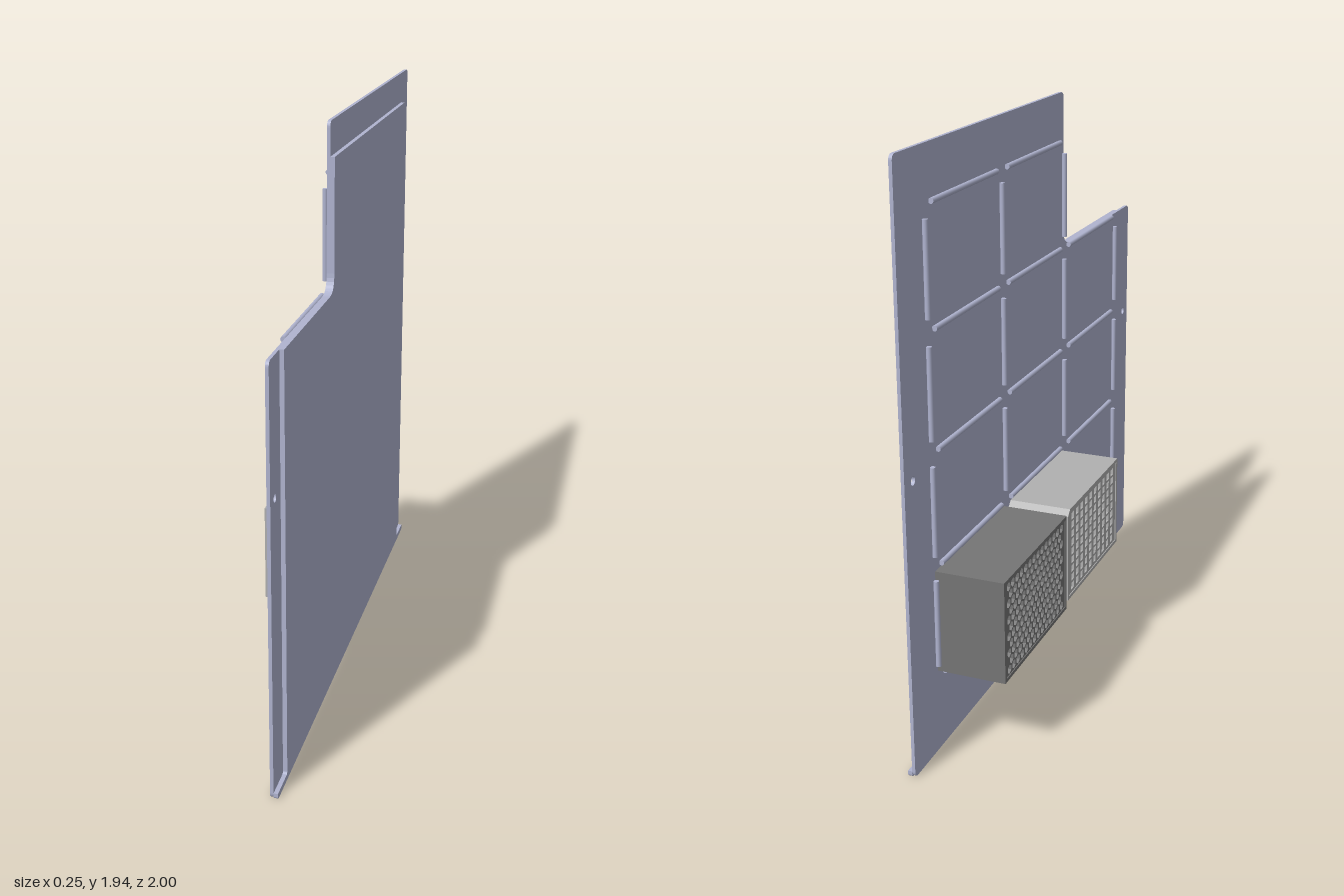
import * as THREE from 'three';

const paint = (color) => new THREE.MeshStandardMaterial({ color, side: THREE.DoubleSide });
const panelPaint = paint(0xb0b4d0);
const darkPaint = paint(0x757575);
const lightPaint = paint(0xb0b0b0);
const corePaint = paint(0xcccccc);

// Closed shape from [u, v, cornerRadius] points; u runs towards -z, v is up
function outline(points, Type = THREE.Shape) {
  const s = new Type();
  const n = points.length;
  points.forEach(([u, v, r = 0], i) => {
    const toward = ([a, b]) => {
      const d = Math.hypot(a - u, b - v);
      return [u + ((a - u) * r) / d, v + ((b - v) * r) / d];
    };
    const start = toward(points[(i + n - 1) % n]);
    const end = toward(points[(i + 1) % n]);
    if (i === 0) s.moveTo(...start); else s.lineTo(...start);
    if (r > 0) s.quadraticCurveTo(u, v, ...end);
  });
  s.closePath();
  return s;
}

// Extrudes a (u, v) shape along x from x0 to x1
function slab(name, shape, x0, x1, material) {
  const g = new THREE.ExtrudeGeometry(shape, { depth: x1 - x0, bevelEnabled: false, curveSegments: 8 });
  g.rotateY(Math.PI / 2).translate(x0, 0, 0);
  const mesh = new THREE.Mesh(g, material);
  mesh.name = name;
  return mesh;
}

// Regular polygon hole
function polygonHole(u, v, r, sides, turn = 0) {
  const pts = [];
  for (let i = 0; i < sides; i++) {
    const a = turn + (i / sides) * Math.PI * 2;
    pts.push([u + r * Math.cos(a), v + r * Math.sin(a)]);
  }
  return outline(pts, THREE.Path);
}

// Box housing: side walls, a pierced cover and an inner back plate
function housing(name, points, xFront, holes, material, coreMaterial) {
  const group = new THREE.Group();
  group.name = name;
  const us = points.map((p) => p[0]), vs = points.map((p) => p[1]);
  const cu = (Math.min(...us) + Math.max(...us)) / 2, cv = (Math.min(...vs) + Math.max(...vs)) / 2;
  const w = Math.max(...us) - Math.min(...us), h = Math.max(...vs) - Math.min(...vs);
  const t = 0.012;
  const inner = points.map(([u, v]) => [cu + (u - cu) * (1 - (2 * t) / w), cv + (v - cv) * (1 - (2 * t) / h)]);
  const walls = outline(points);
  walls.holes.push(outline(inner, THREE.Path));
  const cover = outline(inner);
  cover.holes.push(...holes);
  group.add(
    slab('housingWalls', walls, xFront, 0.1, material),
    slab('housingGrille', cover, xFront + 0.003, xFront + 0.02, material),
    slab('housingCore', outline(inner), xFront + 0.03, 0.1, coreMaterial),
  );
  return group;
}

export function createModel() {
  const model = new THREE.Group();

  // Thin base sheet with notch and two screw holes
  const sheet = outline([
    [-1, 0, 0.02], [1, 0, 0.02], [1, 1.94, 0.02], [-0.28, 1.94, 0.02], [-0.28, 1.4, 0.06], [-1, 1.4, 0.02],
  ]);
  sheet.holes.push(polygonHole(-0.95, 0.975, 0.014, 20), polygonHole(0.945, 0.975, 0.014, 20));
  model.add(slab('baseSheet', sheet, 0.1, 0.111, panelPaint));

  // Raised outer skin with a lip along the bottom edge
  const skin = outline([
    [-1, 0, 0.01], [1, 0, 0.01], [1, 0.02], [0.89, 0.02, 0.01], [0.89, 1.83, 0.01], [-0.28, 1.83],
    [-0.28, 1.4, 0.06], [-0.89, 1.4], [-0.89, 0.02, 0.01], [-1, 0.02],
  ]);
  model.add(slab('raisedSkin', skin, 0.111, 0.125, panelPaint));

  // Grid of round ribs on the inner side; the +z column is one row shorter
  const ribs = new THREE.Group();
  ribs.name = 'ribs';
  const rib = (name, length, y, z, flat) => {
    const mesh = new THREE.Mesh(new THREE.CylinderGeometry(0.009, 0.009, length, 12), panelPaint);
    mesh.name = name;
    mesh.position.set(0.093, y, z);
    if (flat) mesh.rotation.x = Math.PI / 2;
    ribs.add(mesh);
  };
  const pitchZ = 0.55, pitchY = 0.377;
  for (let col = 0; col < 4; col++) {
    const rows = col === 0 ? 3 : 4;
    for (let row = 0; row < rows; row++) rib('uprightRib', 0.295, 0.45 + row * pitchY, 0.822 - col * pitchZ, false);
    if (col === 3) continue;
    for (let row = 0; row <= rows; row++) rib('crossRib', 0.47, 0.264 + row * pitchY, 0.547 - col * pitchZ, true);
  }
  model.add(ribs);

  // Dark box with staggered hexagonal openings
  const hexes = [];
  for (let row = 0; row < 11; row++) {
    const count = row % 2 ? 13 : 14;
    for (let i = 0; i < count; i++) {
      hexes.push(polygonHole(0.555 + (i - (count - 1) / 2) * 0.0345, 0.4525 + (row - 5) * 0.0285, 0.0155, 6, Math.PI / 6));
    }
  }
  model.add(housing('darkVentBox', [[0.29, 0.28], [0.82, 0.28], [0.82, 0.625], [0.29, 0.625]], -0.13, hexes, darkPaint, corePaint));

  // Light box with square openings and one bevelled top edge
  const squares = [];
  for (let row = 0; row < 9; row++) {
    for (let i = 0; i < 10; i++) {
      squares.push(polygonHole(-0.01 + (i - 4.5) * 0.045, 0.4525 + (row - 4) * 0.033, 0.0175, 4, Math.PI / 4));
    }
  }
  model.add(housing('lightVentBox',
    [[-0.265, 0.285], [0.245, 0.285], [0.245, 0.6], [0.225, 0.62], [-0.265, 0.62]], -0.118, squares, lightPaint, darkPaint));

  return model;
}
